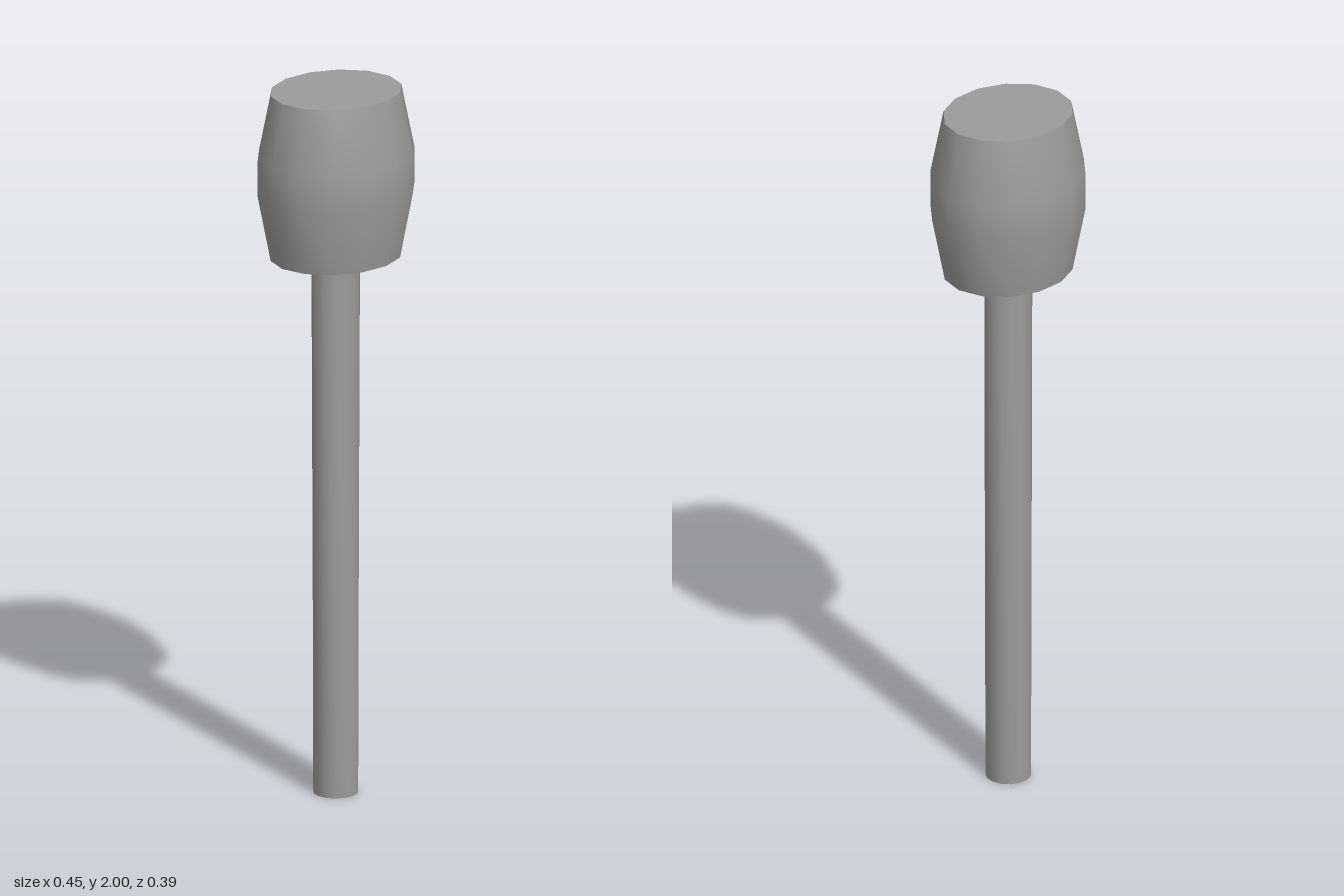
import * as THREE from 'three';
import { toCreasedNormals } from 'three/addons/utils/BufferGeometryUtils.js';

const SIDES = 14;

// Closed elliptical tube through rings of [y, x radius, z radius], first vertex on the x axis
function ellipticalLathe(rings, sides) {
  const profile = rings.map(([y, rx]) => new THREE.Vector2(rx, y));
  profile.unshift(new THREE.Vector2(0, rings[0][0]));
  profile.push(new THREE.Vector2(0, rings[rings.length - 1][0]));
  const geometry = new THREE.LatheGeometry(profile, sides, Math.PI / 2);
  const pos = geometry.attributes.position;
  const perRing = profile.length;
  for (let i = 0; i < pos.count; i++) {
    const k = (i % perRing) - 1;
    if (k < 0 || k >= rings.length) continue;
    pos.setZ(i, pos.getZ(i) * rings[k][2] / rings[k][1]);
  }
  return toCreasedNormals(geometry, THREE.MathUtils.degToRad(40));
}

export function createModel() {
  const group = new THREE.Group();
  const material = new THREE.MeshStandardMaterial({ color: 0x9b9b9b });

  // Barrel-shaped head
  const head = new THREE.Mesh(ellipticalLathe([
    [1.53, 0.189, 0.165],
    [1.715, 0.226, 0.199],
    [1.82, 0.226, 0.199],
    [2, 0.189, 0.165],
  ], SIDES), material);
  head.name = 'head';

  // Handle, narrowing slightly sideways towards its foot
  const handle = new THREE.Mesh(ellipticalLathe([
    [0, 0.062, 0.062],
    [1.535, 0.07, 0.062],
  ], SIDES), material);
  handle.name = 'handle';
  handle.position.x = -0.001;

  group.add(head, handle);
  return group;
}
